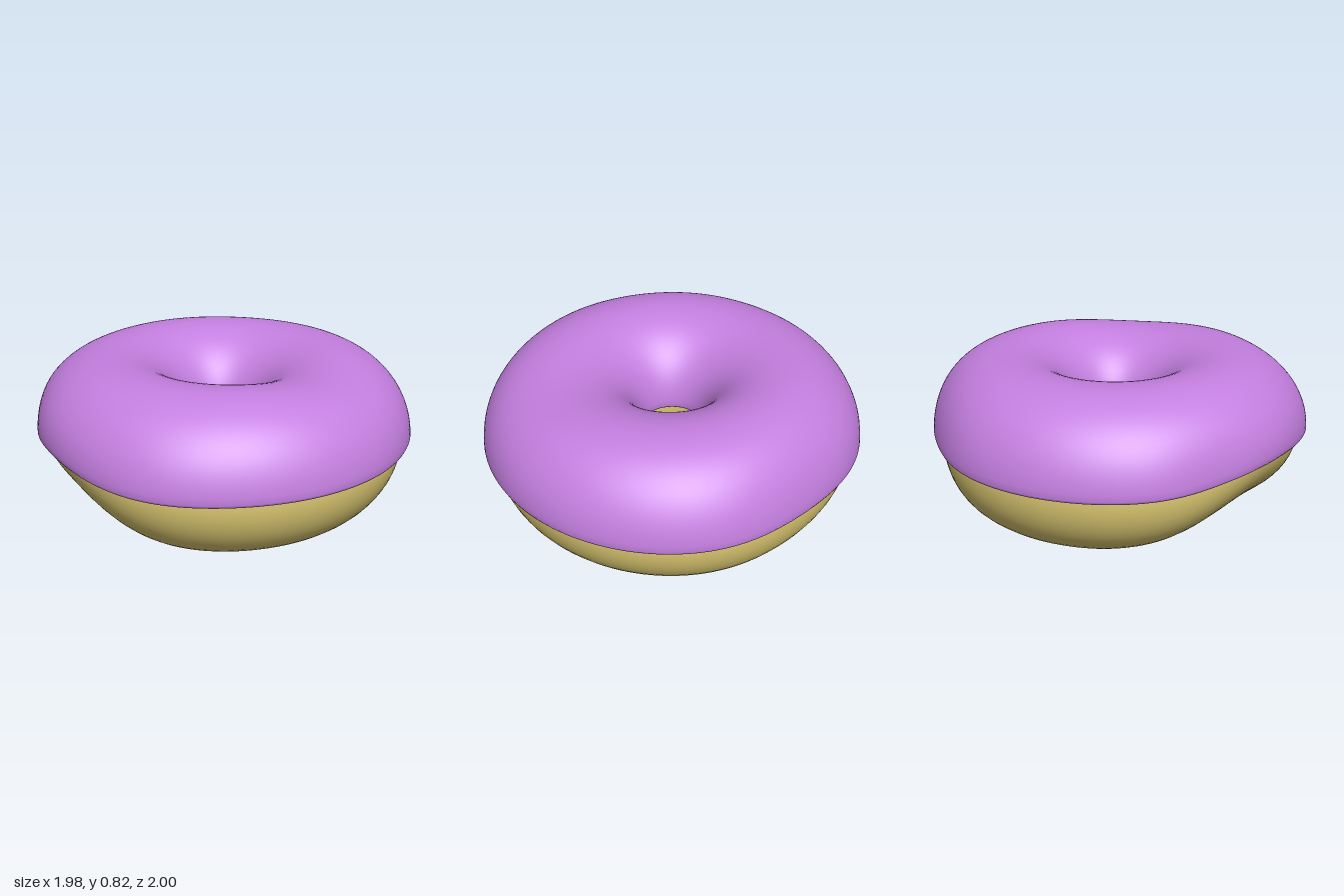
import * as THREE from 'three';
import { mergeVertices } from 'three/addons/utils/BufferGeometryUtils.js';

// Soft hand-made dents: centre, reach and push
const dents = [
  { at: [-0.82, 0.08, 0], reach: 0.42, push: [0.05, 0.1, 0] },
  { at: [0.6, 0.5, -0.76], reach: 0.4, push: [-0.025, 0, 0.035] },
  { at: [-0.92, 0.45, -0.38], reach: 0.25, push: [0.02, 0, 0.005] },
  { at: [-0.7, 0.45, 0.7], reach: 0.35, push: [-0.012, 0, 0.012] },
  { at: [0.3, 0.82, 0.52], reach: 0.35, push: [0, -0.035, 0] },
].map((d) => ({ at: new THREE.Vector3(...d.at), reach: d.reach, push: new THREE.Vector3(...d.push) }));

function dent(geometry) {
  const pos = geometry.attributes.position;
  const p = new THREE.Vector3();
  for (let i = 0; i < pos.count; i++) {
    p.fromBufferAttribute(pos, i);
    const moved = p.clone();
    for (const d of dents) {
      const t = p.distanceTo(d.at) / d.reach;
      moved.addScaledVector(d.push, Math.exp(-t * t));
    }
    pos.setXYZ(i, moved.x, moved.y, moved.z);
  }
}

// Points on a ring's cross-section, from angle a to angle b
function arc(ringRadius, rx, ry, a, b, steps) {
  return Array.from({ length: steps + 1 }, (_, i) => {
    const t = a + ((b - a) * i) / steps;
    return new THREE.Vector2(ringRadius + rx * Math.cos(t), 0.4 + ry * Math.sin(t));
  });
}

function ring(name, profile, color) {
  let geometry = new THREE.LatheGeometry(profile, 128);
  geometry.deleteAttribute('uv');
  geometry.deleteAttribute('normal');
  geometry = mergeVertices(geometry, 1e-4);
  dent(geometry);
  geometry.computeVertexNormals();
  const mesh = new THREE.Mesh(geometry, new THREE.MeshStandardMaterial({ color }));
  mesh.name = name;
  return mesh;
}

export function createModel() {
  const group = new THREE.Group();
  group.name = 'donut';

  // Dough: a full ring
  const dough = arc(0.575, 0.383, 0.4, -Math.PI, Math.PI, 56);
  group.add(ring('dough', dough, 0xe0cc74));

  // Icing: an upper shell with a rounded lip that turns in under its edge
  const v = (x, y) => new THREE.Vector2(x, y);
  const icing = [
    v(0.935, 0.412), v(0.955, 0.402), v(0.98, 0.398), v(0.993, 0.403),
    ...arc(0.58, 0.42, 0.42, 0.04, Math.PI - 0.04, 40),
    v(0.167, 0.403), v(0.18, 0.398), v(0.2, 0.402), v(0.22, 0.412),
  ];
  group.add(ring('icing', icing, 0xc47fe0));

  return group;
}
